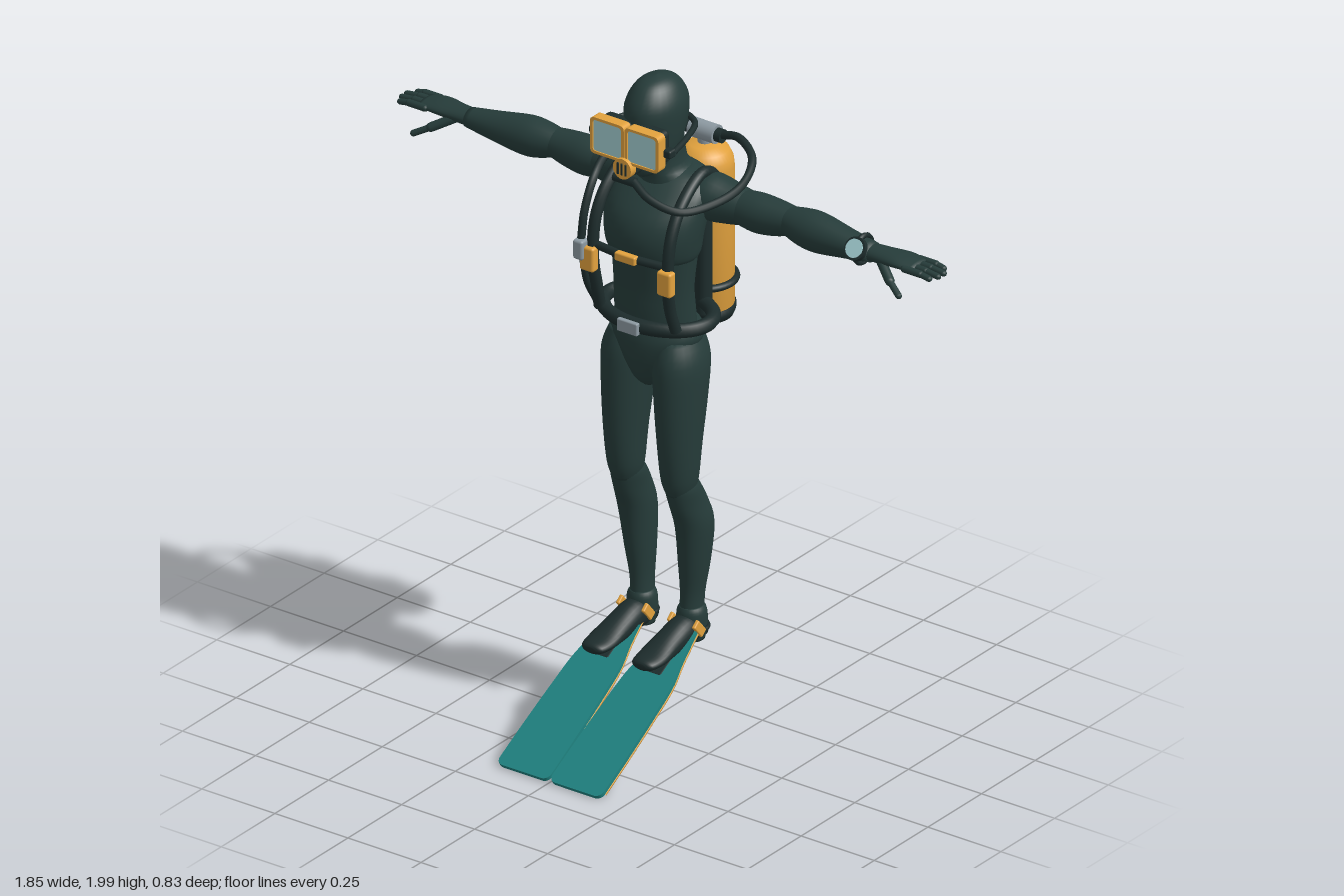
import * as THREE from 'three';
import { RoundedBoxGeometry } from 'three/addons/geometries/RoundedBoxGeometry.js';

const mat = (name, color) => Object.assign(new THREE.MeshStandardMaterial({ color }), { name });
const V = (x, y, z) => new THREE.Vector3(x, y, z);

// Smooth body running along y through rings of [y, centreX, centreZ, radiusX, radiusZ]
function loft(rings, sides = 28, smooth = 4) {
  const rows = [];
  const cr = (a, b, c, d, t) => 0.5 * (2 * b + (c - a) * t + (2 * a - 5 * b + 4 * c - d) * t * t + (3 * b - a - 3 * c + d) * t * t * t);
  const at = i => rings[Math.min(Math.max(i, 0), rings.length - 1)];
  for (let i = 0; i < rings.length - 1; i++)
    for (let k = 0; k < smooth; k++)
      rows.push(at(i).map((_, c) => cr(at(i - 1)[c], at(i)[c], at(i + 1)[c], at(i + 2)[c], k / smooth)));
  rows.push(at(rings.length));
  const pos = [], idx = [], n = sides, last = (rows.length - 1) * n;
  for (const [y, cx, cz, rx, rz] of rows)
    for (let j = 0; j < n; j++) {
      const a = j / n * Math.PI * 2;
      pos.push(cx + rx * Math.cos(a), y, cz + rz * Math.sin(a));
    }
  for (let i = 0; i < rows.length - 1; i++)
    for (let j = 0; j < n; j++) {
      const a = i * n + j, b = i * n + (j + 1) % n;
      idx.push(a, a + n, b, b, a + n, b + n);
    }
  const cap = rows.length * n;
  for (const r of [rows[0], rows[rows.length - 1]]) pos.push(r[1], r[0], r[2]);
  for (let j = 0; j < n; j++) {
    const k = (j + 1) % n;
    idx.push(cap, j, k, cap + 1, last + k, last + j);
  }
  const g = new THREE.BufferGeometry();
  g.setAttribute('position', new THREE.Float32BufferAttribute(pos, 3));
  g.setIndex(idx);
  g.computeVertexNormals();
  return g;
}

export function createModel() {
  const root = new THREE.Group();
  root.name = 'scubaDiver';
  const suit = mat('suit', 0x263c3a), rubber = mat('rubber', 0x1d2c2c), orange = mat('orange', 0xe2a23e);
  const teal = mat('teal', 0x1f8280), glass = mat('glass', 0xa3cfd2), steel = mat('steel', 0x8d9aa2);

  const add = (name, geo, m, x = 0, y = 0, z = 0, rx = 0, ry = 0, rz = 0) => {
    const mesh = new THREE.Mesh(geo, m);
    mesh.name = name;
    mesh.position.set(x, y, z);
    mesh.rotation.set(rx, ry, rz);
    root.add(mesh);
    return mesh;
  };
  const box = (w, h, d, r = 0.008) => new RoundedBoxGeometry(w, h, d, 2, r);
  const cyl = (r, h, r2 = r) => new THREE.CylinderGeometry(r, r2, h, 28);
  const hose = (name, pts, r, m = rubber, closed = false) =>
    add(name, new THREE.TubeGeometry(new THREE.CatmullRomCurve3(pts.map(p => V(...p)), closed), 60, r, 10, closed), m);
  const capsule = (name, a, b, r, m) => {
    const mesh = add(name, new THREE.CapsuleGeometry(r, a.distanceTo(b), 4, 10), m);
    mesh.position.copy(a).lerp(b, 0.5);
    mesh.quaternion.setFromUnitVectors(V(0, 1, 0), b.clone().sub(a).normalize());
  };

  // Head, neck and trunk
  add('head', loft([[1.715, 0, -0.05, 0.02, 0.03], [1.735, 0, -0.055, 0.045, 0.05], [1.79, 0, -0.085, 0.068, 0.085],
    [1.86, 0, -0.095, 0.079, 0.104], [1.92, 0, -0.098, 0.08, 0.106], [1.965, 0, -0.1, 0.062, 0.083],
    [1.99, 0, -0.1, 0.036, 0.05], [2.0, 0, -0.1, 0.003, 0.004]]), suit);
  add('neck', loft([[1.62, 0, -0.15, 0.11, 0.09], [1.69, 0, -0.145, 0.085, 0.085], [1.73, 0, -0.13, 0.06, 0.075], [1.82, 0, -0.12, 0.058, 0.07]]), suit);
  add('chest', loft([[1.46, 0, -0.09, 0.125, 0.09], [1.48, 0, -0.085, 0.14, 0.112], [1.54, 0, -0.085, 0.15, 0.12],
    [1.6, 0, -0.105, 0.155, 0.12], [1.66, 0, -0.14, 0.155, 0.1], [1.695, 0, -0.155, 0.125, 0.075], [1.71, 0, -0.155, 0.07, 0.05]]), suit);
  add('abdomen', loft([[1.2, 0, -0.1, 0.125, 0.095], [1.3, 0, -0.09, 0.124, 0.09], [1.38, 0, -0.085, 0.125, 0.085], [1.5, 0, -0.09, 0.135, 0.1]]), suit);
  add('pelvis', loft([[1.06, 0, -0.095, 0.028, 0.05], [1.09, 0, -0.095, 0.055, 0.08], [1.15, 0, -0.1, 0.1, 0.105],
    [1.21, 0, -0.1, 0.14, 0.108], [1.25, 0, -0.1, 0.135, 0.1]]), suit);

  for (const s of [1, -1]) {
    // Arm segments run outward along x
    const armPart = (name, rings) => add(name, loft(rings.map(([x, y, z, ry, rz]) => [x, -s * y, z, ry, rz]), 24), suit, 0, 0, 0, 0, 0, -s * Math.PI / 2);
    armPart('shoulder', [[0.09, 1.64, -0.165, 0.05, 0.06], [0.14, 1.635, -0.17, 0.068, 0.07], [0.2, 1.63, -0.175, 0.06, 0.062], [0.27, 1.628, -0.178, 0.046, 0.05]]);
    armPart('upperArm', [[0.22, 1.63, -0.175, 0.046, 0.05], [0.29, 1.626, -0.178, 0.057, 0.057], [0.36, 1.628, -0.18, 0.051, 0.052], [0.42, 1.635, -0.178, 0.038, 0.042]]);
    armPart('forearm', [[0.38, 1.635, -0.177, 0.036, 0.038], [0.44, 1.63, -0.177, 0.052, 0.054], [0.5, 1.628, -0.176, 0.057, 0.058], [0.6, 1.628, -0.17, 0.042, 0.046], [0.69, 1.628, -0.168, 0.028, 0.034]]);
    armPart('palm', [[0.67, 1.628, -0.168, 0.024, 0.032], [0.73, 1.63, -0.17, 0.022, 0.038], [0.79, 1.632, -0.174, 0.018, 0.046], [0.845, 1.63, -0.174, 0.011, 0.042]]);
    [0.9, 0.918, 0.917, 0.905].forEach((tip, i) => {
      const z = -0.21 + i * 0.025;
      capsule('finger', V(s * 0.82, 1.63, z), V(s * 0.875, 1.63, z), 0.0105, suit);
      capsule('fingertip', V(s * 0.875, 1.63, z), V(s * tip, 1.625, z), 0.009, suit);
    });
    capsule('thumbBase', V(s * 0.73, 1.62, -0.15), V(s * 0.785, 1.59, -0.115), 0.014, suit);
    capsule('thumb', V(s * 0.785, 1.59, -0.115), V(s * 0.83, 1.566, -0.095), 0.0095, suit);

    // Legs
    const legPart = (name, rings) => add(name, loft(rings.map(([y, x, ...r]) => [y, s * x, ...r])), suit);
    legPart('thigh', [[0.74, 0.092, -0.085, 0.038, 0.048], [0.79, 0.092, -0.08, 0.05, 0.06], [0.9, 0.092, -0.08, 0.058, 0.074],
      [1.04, 0.09, -0.088, 0.068, 0.09], [1.15, 0.087, -0.095, 0.072, 0.096], [1.22, 0.08, -0.1, 0.055, 0.08]]);
    legPart('shin', [[0.32, 0.084, -0.145, 0.034, 0.04], [0.4, 0.086, -0.148, 0.032, 0.04], [0.5, 0.092, -0.148, 0.042, 0.052],
      [0.62, 0.097, -0.142, 0.05, 0.064], [0.7, 0.095, -0.115, 0.046, 0.066], [0.76, 0.093, -0.09, 0.046, 0.056], [0.8, 0.092, -0.08, 0.032, 0.042]]);
    legPart('ankle', [[0.26, 0.085, -0.15, 0.034, 0.035], [0.3, 0.085, -0.148, 0.042, 0.044], [0.345, 0.085, -0.146, 0.042, 0.044], [0.365, 0.085, -0.146, 0.033, 0.038]]);
    // Foot runs forward along z
    add('foot', loft([[-0.19, 0.085, 0.28, 0.015, 0.018], [-0.175, 0.085, 0.285, 0.035, 0.032], [-0.11, 0.085, 0.3, 0.042, 0.045],
      [-0.03, 0.085, 0.287, 0.044, 0.036], [0.04, 0.086, 0.274, 0.046, 0.022], [0.085, 0.086, 0.27, 0.036, 0.016], [0.096, 0.086, 0.269, 0.015, 0.007]]
      .map(([z, x, y, rx, ry]) => [z, s * x, -y, rx, ry])), rubber, 0, 0, 0, Math.PI / 2);

    // Swim fin: sloping blade, edge rails and foot pocket
    const fin = new THREE.Group();
    fin.name = 'fin';
    fin.position.set(s * 0.09, 0.312, -0.105);
    fin.rotation.x = 2.087;
    const side = [[0.042, 0], [0.058, 0.1], [0.077, 0.19], [0.083, 0.3], [0.087, 0.45], [0.088, 0.57]];
    const shape = new THREE.Shape();
    shape.moveTo(-0.042, 0);
    shape.lineTo(0.042, 0);
    shape.splineThru(side.slice(1).map(p => new THREE.Vector2(...p)));
    shape.quadraticCurveTo(0.086, 0.589, 0.068, 0.591);
    shape.lineTo(-0.068, 0.591);
    shape.quadraticCurveTo(-0.086, 0.589, -0.088, 0.57);
    shape.splineThru(side.slice(0, 5).reverse().map(p => new THREE.Vector2(-p[0], p[1])));
    const put = (name, geo, m) => {
      const mesh = new THREE.Mesh(geo, m);
      mesh.name = name;
      fin.add(mesh);
      return mesh;
    };
    put('finBlade', new THREE.ExtrudeGeometry(shape, { depth: 0.012, bevelEnabled: false, curveSegments: 8 }), teal);
    for (const e of [1, -1]) {
      const path = new THREE.CatmullRomCurve3(side.map(([x, y]) => V(e * (x - 0.006), y, 0.015)));
      put('finRail', new THREE.TubeGeometry(path, 30, 0.0075, 8), orange);
    }
    put('footPocket', box(0.082, 0.13, 0.05, 0.02), rubber).position.set(0, 0.12, 0.024);
    root.add(fin);
    for (const e of [1, -1]) add('finBuckle', box(0.012, 0.055, 0.028, 0.004), orange, s * 0.087 + e * 0.043, 0.312, -0.118, 0.7);
    add('heelStrap', new THREE.TorusGeometry(0.045, 0.006, 8, 24, Math.PI), rubber, s * 0.087, 0.3, -0.145, -Math.PI / 2);

    // Mask half: framed pane with strap clip
    const pane = (w, h, r, C) => {
      const p = new C();
      p.moveTo(-w + r, -h); p.lineTo(w - r, -h); p.quadraticCurveTo(w, -h, w, -h + r);
      p.lineTo(w, h - r); p.quadraticCurveTo(w, h, w - r, h);
      p.lineTo(-w + r, h); p.quadraticCurveTo(-w, h, -w, h - r);
      p.lineTo(-w, -h + r); p.quadraticCurveTo(-w, -h, -w + r, -h);
      return p;
    };
    const frame = pane(0.058, 0.056, 0.016, THREE.Shape);
    frame.holes.push(pane(0.049, 0.048, 0.012, THREE.Path));
    add('maskFrame', new THREE.ExtrudeGeometry(frame, { depth: 0.033, bevelEnabled: false }), orange, s * 0.059, 1.842, 0.021);
    add('maskLens', box(0.1, 0.098, 0.008, 0.003), glass, s * 0.059, 1.842, 0.047);
    add('maskSkirt', box(0.1, 0.1, 0.055, 0.015), rubber, s * 0.055, 1.842, 0.006);
    add('strapClip', box(0.028, 0.025, 0.03, 0.006), rubber, s * 0.126, 1.84, 0.015);

    // Harness shoulder strap and pouch
    hose('shoulderStrap', [[s * 0.1, 1.55, -0.215], [s * 0.115, 1.66, -0.22], [s * 0.12, 1.71, -0.15], [s * 0.125, 1.655, -0.045],
      [s * 0.128, 1.57, 0.01], [s * 0.128, 1.45, 0.025], [s * 0.125, 1.35, 0.01], [s * 0.13, 1.28, -0.01]], 0.017);
    add('pouch', box(0.048, 0.075, 0.03), orange, s * 0.132, 1.447, 0.038);
  }

  // Mask strap and breathing regulator
  hose('maskStrap', [[0.135, 1.84, 0.01], [0.11, 1.84, -0.09], [0.07, 1.84, -0.18], [0, 1.84, -0.208],
    [-0.07, 1.84, -0.18], [-0.11, 1.84, -0.09], [-0.135, 1.84, 0.01]], 0.009);
  add('mouthpiece', box(0.05, 0.045, 0.06, 0.015), rubber, 0, 1.765, 0.015);
  add('regulator', cyl(0.031, 0.025), orange, 0, 1.772, 0.052, Math.PI / 2);
  for (const x of [-0.013, 0, 0.013]) add('regulatorSlot', box(0.006, 0.036, 0.008, 0.002), rubber, x, 1.772, 0.064);
  add('exhaustTee', cyl(0.014, 0.07), rubber, 0, 1.735, 0.05, 0, 0, Math.PI / 2);

  // Air tank with boot, bands and valve
  const tankProfile = [[0, 1.19], [0.083, 1.19], [0.083, 1.63], [0.08, 1.655], [0.068, 1.68], [0.045, 1.697], [0, 1.702]];
  add('tank', new THREE.LatheGeometry(tankProfile.map(p => new THREE.Vector2(...p)), 40), orange, 0, 0, -0.322);
  add('tankBoot', new THREE.LatheGeometry([[0, 1.158], [0.06, 1.16], [0.08, 1.172], [0.087, 1.19], [0.087, 1.207], [0.08, 1.207]]
    .map(p => new THREE.Vector2(...p)), 40), rubber, 0, 0, -0.322);
  for (const y of [1.285, 1.543]) add('tankBand', new THREE.TorusGeometry(0.087, 0.011, 10, 40), rubber, 0, y, -0.322, Math.PI / 2);
  add('valveNeck', cyl(0.02, 0.05), steel, 0, 1.71, -0.322);
  add('valve', cyl(0.028, 0.085), steel, 0, 1.733, -0.322, 0, 0, Math.PI / 2);
  for (const s of [1, -1]) add('valveKnob', cyl(0.02, 0.022), rubber, s * 0.052, 1.733, -0.322, 0, 0, Math.PI / 2);
  add('backPlate', box(0.19, 0.43, 0.05, 0.02), rubber, 0, 1.435, -0.218);

  // Hoses
  hose('airHose', [[0.03, 1.737, 0.05], [0.1, 1.71, 0.07], [0.18, 1.685, 0.045], [0.23, 1.685, -0.06], [0.24, 1.7, -0.17],
    [0.2, 1.73, -0.27], [0.12, 1.75, -0.315], [0.05, 1.735, -0.322]], 0.012);
  hose('inflatorHose', [[-0.05, 1.735, -0.322], [-0.13, 1.735, -0.29], [-0.175, 1.71, -0.21], [-0.18, 1.69, -0.1],
    [-0.165, 1.66, -0.03], [-0.16, 1.58, 0.02], [-0.158, 1.49, 0.04]], 0.012);
  add('inflator', box(0.034, 0.06, 0.035), steel, -0.155, 1.472, 0.045);
  hose('gaugeHose', [[-0.155, 1.44, 0.035], [-0.15, 1.36, 0.02], [-0.15, 1.29, -0.02]], 0.011);

  // Belt, buckle and chest strap
  const loop = Array.from({ length: 16 }, (_, i) => i / 8 * Math.PI).map(a => [0.168 * Math.cos(a), 1.272, -0.105 + 0.12 * Math.sin(a)]);
  hose('belt', loop, 0.021, rubber, true);
  add('beltBuckle', box(0.07, 0.038, 0.016, 0.004), steel, 0, 1.272, 0.035);
  hose('chestStrap', [[-0.128, 1.485, 0.02], [0, 1.487, 0.035], [0.128, 1.485, 0.02]], 0.012);
  add('chestClip', box(0.07, 0.026, 0.022, 0.005), orange, 0, 1.488, 0.043);

  // Wrist compass on the left arm
  add('compassStrap', new THREE.TorusGeometry(0.04, 0.008, 8, 28), rubber, 0.655, 1.628, -0.168, 0, Math.PI / 2);
  add('compassCase', cyl(0.034, 0.016), rubber, 0.655, 1.642, -0.134, 1.0);
  add('compassDial', cyl(0.027, 0.005), glass, 0.655, 1.647, -0.126, 1.0);

  return root;
}
